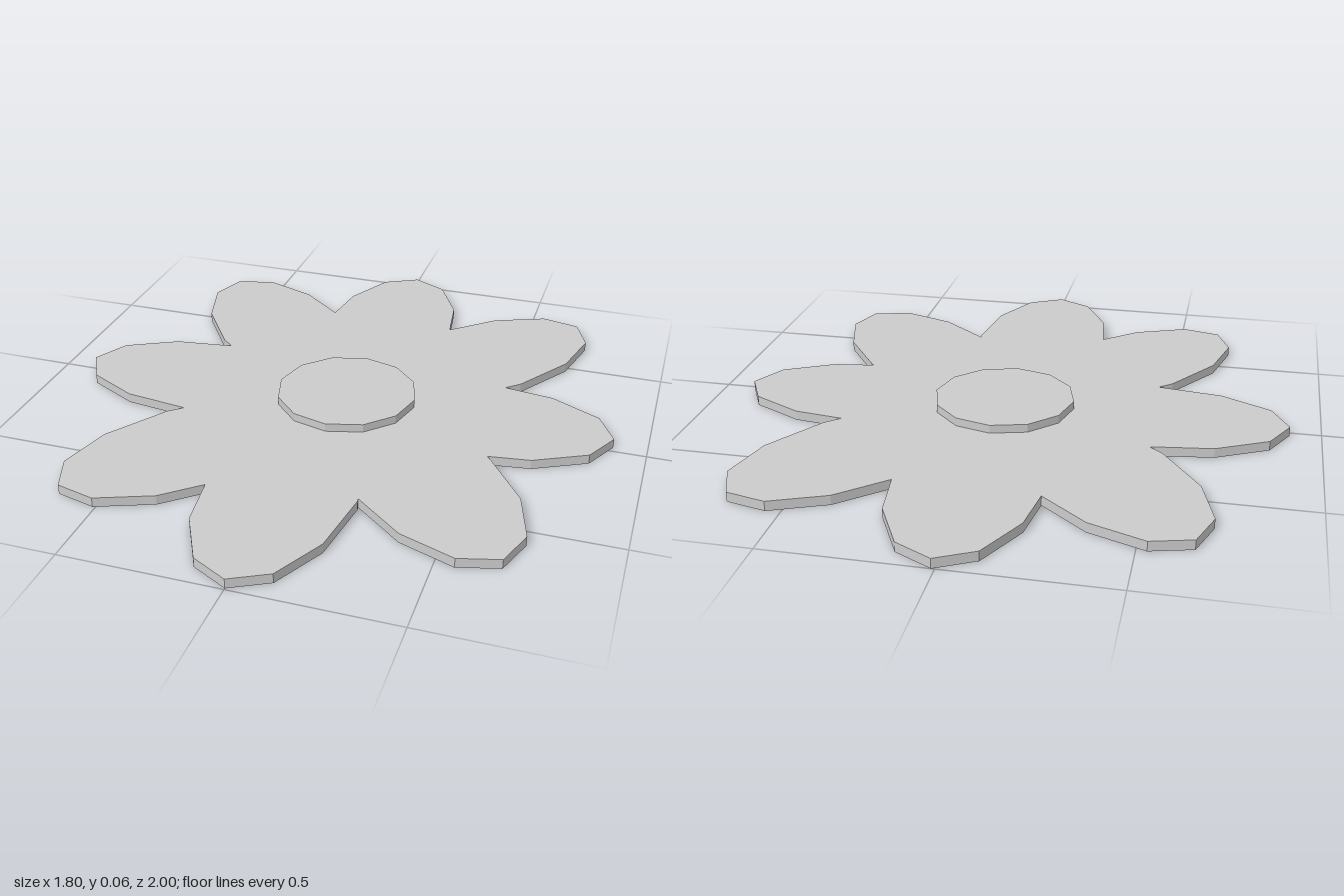
import * as THREE from 'three';

const SIDES = 12;
const THICKNESS = 0.031;
const RADIUS = 0.23;        // flower centre radius and petal half width
const PETAL_HALF_LENGTH = 0.45;

// Petal centre x, z and outward direction in degrees (0 = +z, 90 = +x)
const PETALS = [
  [0.0, 0.545, 0],
  [0.377, 0.36, 43],
  [0.445, -0.022, 90],
  [0.379, -0.433, 139.4],
  [0.01, -0.55, 180],
  [-0.352, -0.438, 222.5],
  [-0.45, -0.022, 270],
  [-0.336, 0.396, 318.4],
];

export function createModel() {
  const group = new THREE.Group();
  group.name = 'flower';
  const material = new THREE.MeshStandardMaterial({ color: 0xcccccc, flatShading: true });

  // Flat twelve-sided disc standing on y = 0
  const disc = new THREE.CylinderGeometry(RADIUS, RADIUS, THICKNESS, SIDES);
  disc.translate(0, THICKNESS / 2, 0);

  // Petals: the disc stretched along its outward direction
  const petalShape = disc.clone().scale(1, 1, PETAL_HALF_LENGTH / RADIUS);
  PETALS.forEach(([x, z, degrees], i) => {
    const petal = new THREE.Mesh(petalShape, material);
    petal.name = `petal${i + 1}`;
    petal.position.set(x, 0, z);
    petal.rotation.y = THREE.MathUtils.degToRad(degrees);
    group.add(petal);
  });

  // Raised centre
  const centre = new THREE.Mesh(disc, material);
  centre.name = 'flowerCentre';
  centre.position.set(0.02, 0.027, -0.024);
  group.add(centre);

  return group;
}
